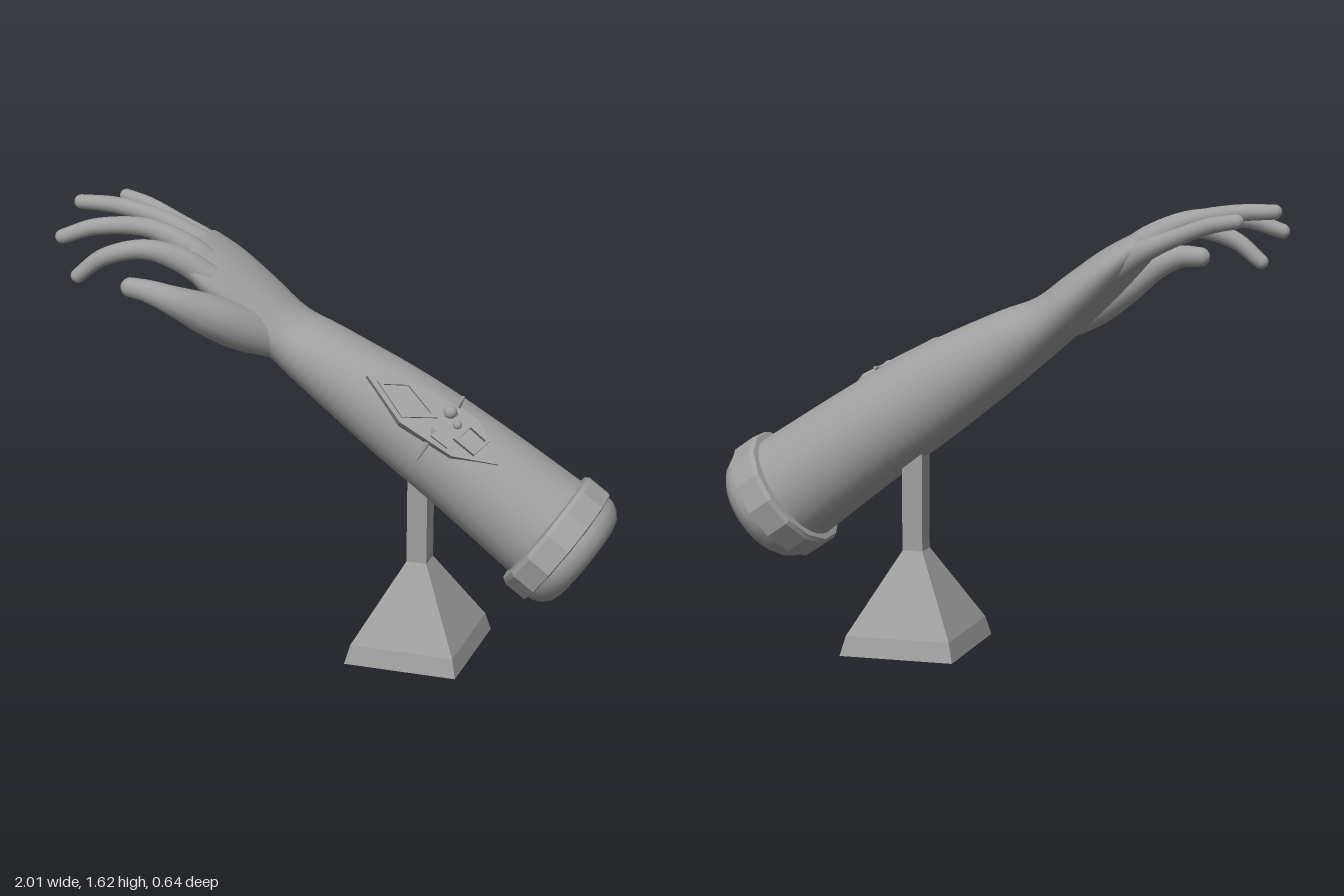
import * as THREE from 'three';
import { toCreasedNormals } from 'three/addons/utils/BufferGeometryUtils.js';

const grey = new THREE.MeshStandardMaterial({ color: 0xa0a0a0, side: THREE.DoubleSide });
grey.name = 'plain grey';

function part(name, geometry, parent) {
  const mesh = new THREE.Mesh(geometry, grey);
  mesh.name = name;
  parent.add(mesh);
  return mesh;
}

// Smooth tapering limb. Each row: x, y, z, half thickness, half width. The far end is rounded.
function limb(rows, sides, steps, tip = 1) {
  const path = new THREE.CatmullRomCurve3(rows.map(r => new THREE.Vector3(r[0], r[1], r[2])), false, 'catmullrom');
  const size = new THREE.CatmullRomCurve3(rows.map(r => new THREE.Vector3(r[3], r[4] ?? r[3], 0)), false, 'catmullrom');
  const rings = [];
  for (let i = 0; i <= steps; i++) {
    const k = i / steps;
    rings.push({ c: path.getPoint(k), t: path.getTangent(k), s: size.getPoint(k) });
  }
  const end = rings[steps];
  for (let i = 1; i <= 5; i++) {
    const a = i / 5 * Math.PI / 2;
    rings.push({
      c: end.c.clone().addScaledVector(end.t, end.s.x * tip * Math.sin(a)),
      t: end.t, s: end.s.clone().multiplyScalar(Math.max(Math.cos(a), 0.001)),
    });
  }
  const pos = [], index = [];
  rings.forEach(({ c, t, s }, i) => {
    const u = new THREE.Vector3(0, 0, 1).addScaledVector(t, -t.z).normalize();
    const v = t.clone().cross(u);
    for (let j = 0; j < sides; j++) {
      const a = j / sides * Math.PI * 2;
      const p = c.clone().addScaledVector(u, Math.cos(a) * s.y).addScaledVector(v, Math.sin(a) * s.x);
      pos.push(p.x, p.y, p.z);
      if (i === 0) continue;
      const n = (j + 1) % sides, lo = (i - 1) * sides, hi = i * sides;
      index.push(lo + j, lo + n, hi + j, lo + n, hi + n, hi + j);
    }
  });
  const g = new THREE.BufferGeometry();
  g.setAttribute('position', new THREE.Float32BufferAttribute(pos, 3));
  g.setIndex(index);
  g.computeVertexNormals();
  return g;
}

function slab(points, depth, hole) {
  const shape = new THREE.Shape(points.map(p => new THREE.Vector2(...p)));
  if (hole) shape.holes.push(new THREE.Path(hole.map(p => new THREE.Vector2(...p))));
  return new THREE.ExtrudeGeometry(shape, { depth, bevelEnabled: false });
}

const profile = pts => pts.map(p => new THREE.Vector2(...p));

export function createModel() {
  const model = new THREE.Group();
  model.name = 'armOnStand';

  // Four-sided stand: flared foot and slim post, slightly skewed
  const r2 = Math.SQRT2;
  const foot = new THREE.LatheGeometry(profile([[0, 0], [0.207 * r2, 0], [0.19 * r2, 0.07], [0.037 * r2, 0.355], [0.037 * r2, 0.85]]), 4);
  foot.rotateY(Math.PI / 4);
  foot.applyMatrix4(new THREE.Matrix4().set(1, 0, -0.04, 0, 0, 1, 0, 0, -0.03, 0, 1.04, 0, 0, 0, 0, 1));
  part('stand', toCreasedNormals(foot, 0.2), model).position.set(0.3, 0, -0.09);

  // Forearm, wrist and palm in one skin
  part('forearmAndPalm', limb([
    [0.78, 0.545, -0.075, 0.205, 0.208],
    [0.49, 0.754, -0.063, 0.186, 0.19],
    [0.23, 0.93, -0.05, 0.168, 0.17],
    [-0.04, 1.1, -0.043, 0.128, 0.153],
    [-0.185, 1.19, -0.045, 0.098, 0.15],
    [-0.31, 1.295, -0.042, 0.088, 0.17],
    [-0.417, 1.388, -0.033, 0.075, 0.185],
    [-0.5, 1.455, -0.025, 0.056, 0.18],
  ], 32, 42, 0.9), model);

  // Fingers and thumb
  const digits = {
    littleFinger: [[-0.44, 1.39, -0.15, 0.045], [-0.53, 1.45, -0.17, 0.04], [-0.64, 1.5, -0.19, 0.031], [-0.77, 1.55, -0.212, 0.028], [-0.87, 1.57, -0.232, 0.025]],
    ringFinger: [[-0.43, 1.42, -0.08, 0.045], [-0.53, 1.48, -0.075, 0.045], [-0.67, 1.55, -0.068, 0.034], [-0.83, 1.583, -0.066, 0.03], [-0.965, 1.59, -0.048, 0.026]],
    middleFinger: [[-0.43, 1.42, 0.02, 0.045], [-0.53, 1.49, 0.03, 0.045], [-0.67, 1.55, 0.05, 0.034], [-0.84, 1.55, 0.092, 0.03], [-0.965, 1.51, 0.122, 0.026]],
    indexFinger: [[-0.42, 1.4, 0.09, 0.05], [-0.52, 1.47, 0.122, 0.045], [-0.64, 1.508, 0.165, 0.035], [-0.78, 1.472, 0.185, 0.031], [-0.88, 1.395, 0.19, 0.026]],
    thumb: [[-0.2, 1.17, 0.02, 0.06], [-0.3, 1.235, 0.1, 0.08], [-0.39, 1.3, 0.185, 0.075], [-0.48, 1.36, 0.255, 0.055], [-0.57, 1.395, 0.277, 0.041], [-0.65, 1.398, 0.26, 0.035]],
  };
  for (const [name, rows] of Object.entries(digits)) part(name, limb(rows, 14, 22), model);

  // Faceted collar at the elbow with a rounded, hollowed end
  const collar = new THREE.Group();
  collar.name = 'elbowCollar';
  const out = new THREE.Vector3(0.815, -0.579, 0).normalize();
  const z = new THREE.Vector3(0, 0, 1);
  collar.applyMatrix4(new THREE.Matrix4().makeBasis(out.clone().cross(z), out, z).setPosition(0.765, 0.556, -0.062));
  model.add(collar);
  const cuff = new THREE.LatheGeometry(profile([[0.18, -0.005], [0.228, 0], [0.237, 0.015], [0.237, 0.1], [0.222, 0.105]]), 14);
  cuff.scale(1, 1, 1.1);
  part('collarBand', toCreasedNormals(cuff, 0.4), collar);
  const cap = new THREE.LatheGeometry(profile([[0.222, 0.1], [0.22, 0.125], [0.205, 0.155], [0.18, 0.178], [0.155, 0.186], [0.138, 0.182], [0.132, 0.15], [0.115, 0.125], [0.08, 0.112], [0, 0.108]]), 28);
  cap.scale(1, 1, 1.1);
  part('collarEnd', toCreasedNormals(cap, 0.8), collar);

  // Device on the forearm, built flat and then laid on the skin
  const device = new THREE.Group();
  device.name = 'forearmDevice';
  const a = new THREE.Vector3(0.865, -0.5, -0.05).normalize();
  const n = new THREE.Vector3(0.395, 0.615, 0.683);
  n.addScaledVector(a, -n.dot(a)).normalize();
  device.applyMatrix4(new THREE.Matrix4().makeBasis(a, n.clone().cross(a), n).setPosition(0.395, 0.97, 0.065));
  model.add(device);

  part('devicePlate', slab([[-0.28, -0.01], [-0.096, -0.088], [0.117, -0.088], [0.268, -0.02], [0.262, 0.01], [0.125, 0.08], [-0.177, 0.063]], 0.048), device).position.z = -0.035;
  part('screenFrame', slab(
    [[-0.24, -0.008], [-0.1, -0.07], [0.005, 0.0], [-0.145, 0.052]], 0.012,
    [[-0.215, -0.006], [-0.1, -0.056], [-0.02, 0.0], [-0.142, 0.041]]), device).position.z = 0.01;
  part('sideBlock', slab([[0.09, -0.035], [0.18, -0.045], [0.2, 0.03], [0.11, 0.045]], 0.022,
    [[0.105, -0.025], [0.17, -0.033], [0.186, 0.022], [0.118, 0.033]]), device).position.z = 0.01;
  part('sidePanel', slab([[0.02, -0.07], [0.09, -0.075], [0.08, -0.02], [0.03, -0.015]], 0.014), device).position.z = 0.01;

  // Round buttons
  for (const [x, y, r] of [[0.03, 0.045, 0.024], [0.075, 0.02, 0.016]]) {
    const dome = part('button', new THREE.SphereGeometry(r, 16, 10), device);
    dome.position.set(x, y, 0.014);
  }

  // Spikes that reach down around the arm on both sides
  for (const [x, side] of [[0.042, 1], [0.022, -1]]) {
    const from = new THREE.Vector3(x, side * 0.04, 0.012);
    const to = new THREE.Vector3(x, side * 0.145, -0.055);
    const spike = part('spike', new THREE.CylinderGeometry(0.006, 0.018, from.distanceTo(to), 6), device);
    spike.position.copy(from).lerp(to, 0.5);
    spike.quaternion.setFromUnitVectors(new THREE.Vector3(0, 1, 0), to.sub(from).normalize());
  }
  return model;
}
